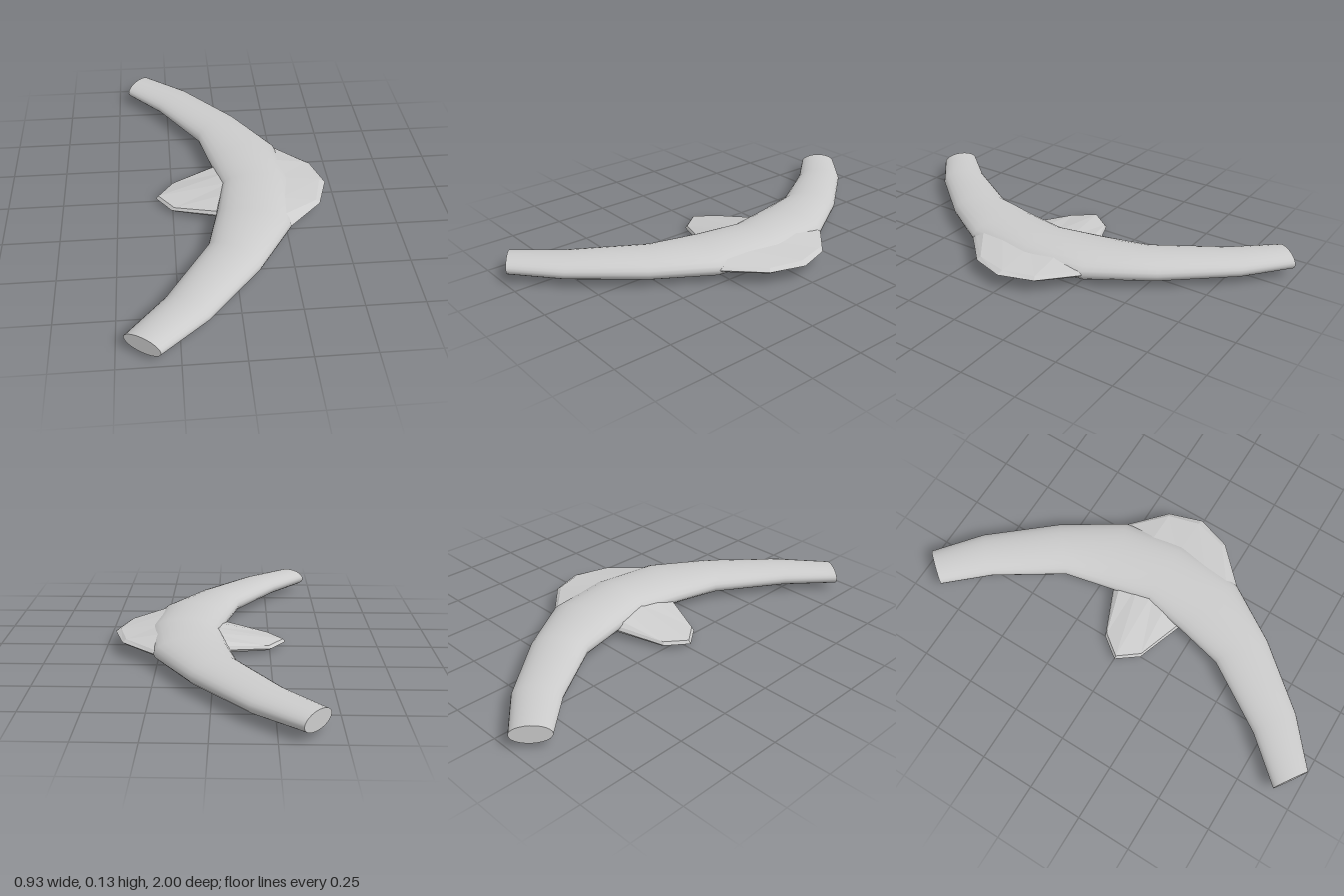
import * as THREE from 'three';

const MID = 0.066;
const SIDES = 24;

// Skin a grid of points (rows of equal length) with quads.
function skin(name, rows, { closed = false, flat = false } = {}) {
  const n = rows[0].length;
  const index = [];
  for (let i = 0; i < rows.length - 1; i++) {
    for (let j = 0; j < (closed ? n : n - 1); j++) {
      const k = (j + 1) % n;
      const a = i * n + j, b = a + n, c = (i + 1) * n + k, d = i * n + k;
      index.push(a, b, c, a, c, d);
    }
  }
  const geometry = new THREE.BufferGeometry();
  geometry.setAttribute('position', new THREE.Float32BufferAttribute(rows.flat(2), 3));
  geometry.setIndex(index);
  geometry.computeVertexNormals();
  const material = new THREE.MeshStandardMaterial({
    color: 0xcccccc, flatShading: flat, side: THREE.DoubleSide,
  });
  const mesh = new THREE.Mesh(geometry, material);
  mesh.name = name;
  return mesh;
}

// Elliptical cross-section between an inner and an outer edge point.
function ring([xo, zo, xi, zi, h]) {
  return Array.from({ length: SIDES }, (_, j) => {
    const t = (j / SIDES) * Math.PI * 2;
    const u = (1 + Math.cos(t)) / 2;
    return [xi + (xo - xi) * u, MID + h * Math.sin(t), zi + (zo - zi) * u];
  });
}

export function createModel() {
  const group = new THREE.Group();
  group.name = 'crescent';

  // Curved body: outer x, z, inner x, z, half height, from +z to -z
  const stations = [
    [-0.325, 0.995, -0.465, 0.9, 0.041],
    [-0.13, 0.83, -0.3, 0.71, 0.048],
    [0.1, 0.56, -0.11, 0.41, 0.057],
    [0.26, 0.31, -0.06, 0.2, 0.063],
    [0.3, 0, -0.02, 0, 0.066],
    [0.26, -0.29, -0.06, -0.19, 0.063],
    [0.09, -0.56, -0.105, -0.4, 0.057],
    [-0.145, -0.84, -0.29, -0.69, 0.048],
    [-0.34, -1.0, -0.45, -0.87, 0.041],
  ];
  const rings = stations.map(ring);
  group.add(skin('curvedBody', rings, { closed: true }));

  // Flat end caps
  const centre = ([xo, zo, xi, zi]) =>
    Array(SIDES).fill([(xo + xi) / 2, MID, (zo + zi) / 2]);
  const last = stations.length - 1;
  group.add(skin('endCapFront', [centre(stations[0]), rings[0]], { closed: true }));
  group.add(skin('endCapBack', [rings[last], centre(stations[last])], { closed: true }));

  // Outer blade: wedge with a bevelled edge
  const lift = (points, y) => points.map(([x, z]) => [x, y, z]);
  const root = [[0.2, 0.29], [0.24, 0.15], [0.24, 0], [0.24, -0.14], [0.2, -0.27]];
  const bevel = [[0.245, 0.305], [0.395, 0.152], [0.435, 0], [0.395, -0.142], [0.245, -0.285]];
  const edge = [[0.26, 0.31], [0.412, 0.16], [0.462, 0.005], [0.412, -0.15], [0.26, -0.29]];
  group.add(skin('outerBlade', [
    lift(root, MID + 0.037), lift(bevel, MID + 0.013), lift(edge, MID),
    lift(bevel, MID - 0.013), lift(root, MID - 0.037),
  ], { flat: true }));

  // Inner spike: thin wedge drooping towards its tip
  const spikeRoot = [[0.04, -0.17], [0.03, -0.08], [0.03, 0], [0.03, 0.08], [0.04, 0.17]];
  const spikeEdge = [[-0.04, -0.18], [-0.255, -0.09], [-0.325, 0.005], [-0.255, 0.1], [-0.04, 0.185]];
  const spikeRow = (rootY, tipY, inset) => spikeEdge.map(([x, z], j) =>
    [x + inset, j % 4 ? tipY : rootY, z * (1 - inset * 2)]);
  group.add(skin('innerSpike', [
    lift(spikeRoot, 0.092), spikeRow(0.062, 0.034, 0.012), spikeRow(0.045, 0.02, 0),
    spikeRow(0.03, 0.012, 0.015), lift(spikeRoot, 0.022),
  ], { flat: true }));

  return group;
}
